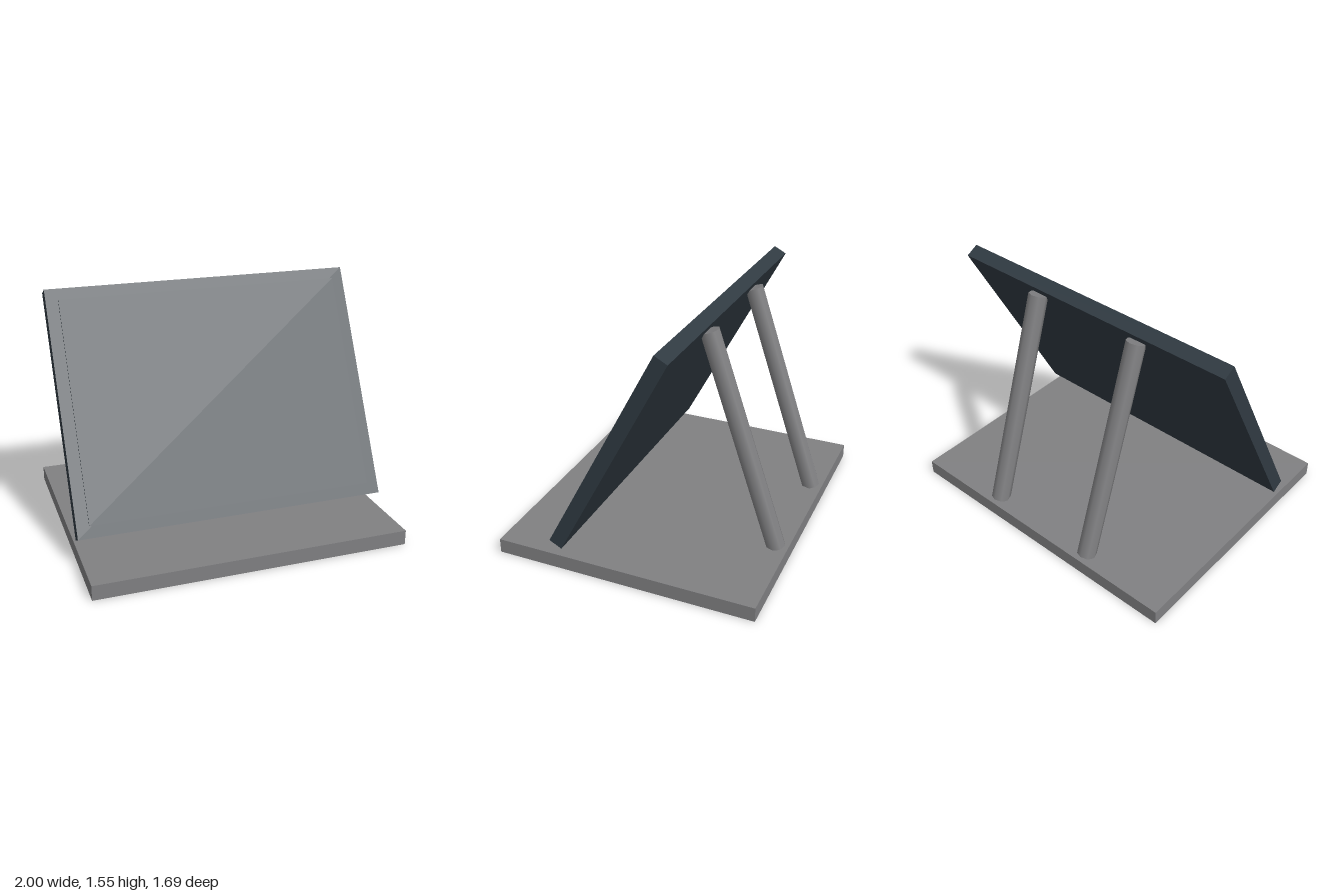
import * as THREE from 'three';

export function createModel() {
  const model = new THREE.Group();
  const grey = new THREE.MeshStandardMaterial({ name: 'grey', color: 0x808082 });
  const slate = new THREE.MeshStandardMaterial({ name: 'dark slate', color: 0x303a42 });

  const add = (parent, name, geometry, material, x, y, z) => {
    const mesh = new THREE.Mesh(geometry, material);
    mesh.name = name;
    mesh.position.set(x, y, z);
    parent.add(mesh);
    return mesh;
  };

  // Flat base slab
  add(model, 'base', new THREE.BoxGeometry(2, 0.095, 1.69), grey, 0, 0.0475, 0);

  // Panel leaning back, with a slightly raised plate on its front
  const panel = new THREE.Group();
  panel.name = 'tiltedPanel';
  panel.position.set(0, 0.848, 0.08);
  panel.rotation.x = THREE.MathUtils.degToRad(-28);
  model.add(panel);
  const thickness = 0.09;
  add(panel, 'panelFrame', new THREE.BoxGeometry(2, 1.534, thickness), slate, 0, 0, 0);
  add(panel, 'panelFace', new THREE.BoxGeometry(1.845, 1.387, 0.018), slate, 0, 0, thickness / 2);

  // Two eight-sided struts holding up the panel from behind
  const strutGeometry = new THREE.CylinderGeometry(0.0615, 0.0615, 1.445, 8);
  for (const [name, side] of [['leftStrut', 1], ['rightStrut', -1]]) {
    const strut = add(model, name, strutGeometry, grey, side * 0.385, 0.775, -0.537);
    strut.rotation.x = THREE.MathUtils.degToRad(18.5);
  }

  return model;
}
